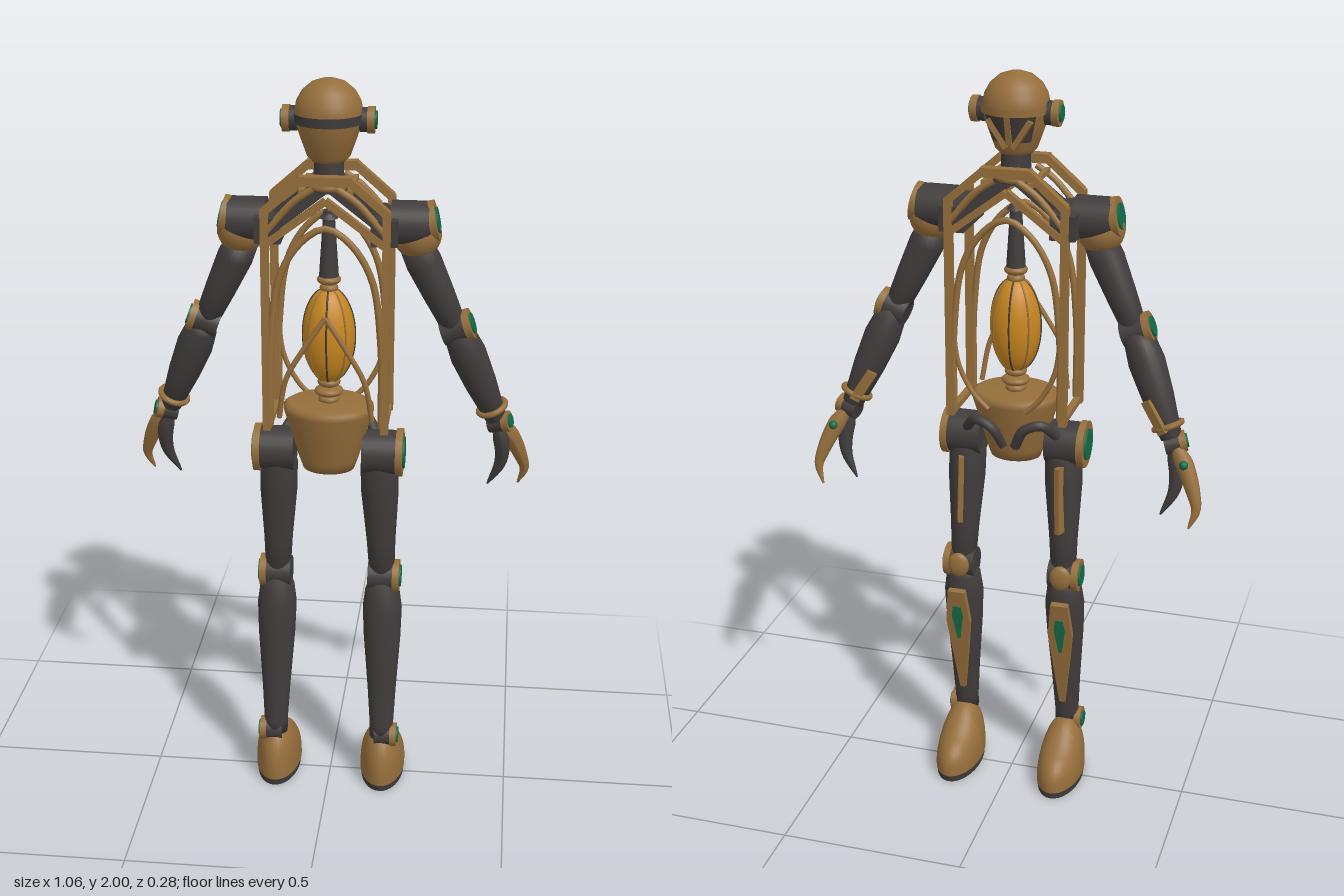
import * as THREE from 'three';

const mat = (name, color) => Object.assign(new THREE.MeshStandardMaterial({ color }), { name });
const bronze = mat('bronze', 0x956e3b);
const dark = mat('dark graphite', 0x403c3b);
const amber = mat('amber', 0xc8861f);
const teal = mat('teal', 0x146b4a);
const V = (x, y, z) => new THREE.Vector3(x, y, z);
const UP = V(0, 1, 0);

export function createModel() {
  const model = new THREE.Group();
  model.name = 'humanoid robot';

  const add = (name, geo, material, x = 0, y = 0, z = 0) => {
    const m = new THREE.Mesh(geo, material);
    m.name = name;
    m.position.set(x, y, z);
    model.add(m);
    return m;
  };
  // smooth rod through points
  const tube = (name, pts, r, material, segs = 24) =>
    add(name, new THREE.TubeGeometry(new THREE.CatmullRomCurve3(pts.map(p => V(...p))), segs, r, 8), material);
  // square bar between two points
  const bar = (name, a, b, w, d, material) => {
    const p = V(...a), q = V(...b);
    const m = add(name, new THREE.BoxGeometry(w, p.distanceTo(q), d), material);
    m.position.copy(p).add(q).multiplyScalar(0.5);
    m.quaternion.setFromUnitVectors(UP, q.sub(p).normalize());
    return m;
  };
  // revolved limb from a to b, profile = [t, radius]
  const limb = (name, a, b, profile, material) => {
    const p = V(...a), q = V(...b), len = p.distanceTo(q);
    const pts = profile.map(([t, r]) => new THREE.Vector2(r, t * len));
    const geo = new THREE.LatheGeometry([new THREE.Vector2(0, 0), ...pts, new THREE.Vector2(0, len)], 24);
    const m = add(name, geo, material);
    m.material.side = THREE.DoubleSide;
    m.position.copy(p);
    m.quaternion.setFromUnitVectors(UP, q.sub(p).normalize());
    return m;
  };
  // dark hub with bronze rim and teal cap, pointing along axis
  const joint = (name, pos, axis, r, len) => {
    const dir = V(...axis).normalize();
    const part = (label, radius, h, offset, material) => {
      const m = add(name + label, new THREE.CylinderGeometry(radius, radius, h, 24), material);
      m.position.set(...pos).addScaledVector(dir, offset);
      m.quaternion.setFromUnitVectors(UP, dir);
    };
    part('Hub', r * 0.92, len, 0, dark);
    part('Rim', r, 0.018, len / 2 - 0.002, bronze);
    part('Cap', r * 0.66, 0.008, len / 2 + 0.008, teal);
  };

  // Head
  const skull = [[0, 1.795], [0.042, 1.797], [0.054, 1.81], [0.072, 1.86], [0.083, 1.9], [0.085, 1.92],
    [0.08, 1.945], [0.066, 1.97], [0.042, 1.99], [0.018, 1.998], [0, 2]];
  add('head', new THREE.LatheGeometry(skull.map(p => new THREE.Vector2(...p)), 32), bronze, 0, 0, 0.04);
  add('headBand', new THREE.CylinderGeometry(0.088, 0.086, 0.024, 32, 1, true, -Math.PI / 2, Math.PI), dark, 0, 1.905, 0.04);
  add('faceRecess', new THREE.CylinderGeometry(0.0865, 0.064, 0.07, 24, 1, true, Math.PI * 0.72, Math.PI * 0.56), dark, 0, 1.868, 0.04);
  add('visor', new THREE.CylinderGeometry(0.089, 0.088, 0.018, 32, 1, true, Math.PI * 0.6, Math.PI * 0.8), bronze, 0, 1.91, 0.04);
  bar('noseRidge', [0, 1.905, -0.044], [0, 1.83, -0.024], 0.014, 0.014, bronze);
  for (const s of [-1, 1]) {
    bar('cheekStrip', [s * 0.055, 1.89, -0.026], [s * 0.01, 1.82, -0.022], 0.014, 0.014, bronze);
    joint('ear', [s * 0.092, 1.9, 0.04], [s, 0, 0], 0.033, 0.03);
  }
  add('neck', new THREE.CylinderGeometry(0.036, 0.04, 0.1, 24), dark, 0, 1.77, 0.037);
  add('neckCollar', new THREE.TorusGeometry(0.046, 0.009, 8, 24).rotateX(Math.PI / 2), bronze, 0, 1.735, 0.037);

  // Rib cage faces, fore and aft
  for (const z of [0.122, -0.052]) {
    const out = z > 0 ? 1 : -1;
    bar('collarTop', [-0.065, 1.765, z], [0.065, 1.765, z], 0.024, 0.028, bronze);
    tube('cageArch', [[-0.143, 1.12, z], [-0.14, 1.35, z], [-0.115, 1.52, z], [-0.06, 1.61, z], [0, 1.645, z],
      [0.06, 1.61, z], [0.115, 1.52, z], [0.14, 1.35, z], [0.143, 1.12, z]], 0.009, bronze, 48);
    for (const s of [-1, 1]) {
      bar('cageUpright', [s * 0.152, 1.105, z], [s * 0.152, 1.69, z], 0.02, 0.022, bronze);
      bar('collarSlope', [s * 0.153, 1.685, z], [s * 0.058, 1.768, z], 0.02, 0.026, bronze);
      bar('chevron', [s * 0.153, 1.6, z], [0, 1.715, z], 0.018, 0.02, bronze);
      tube('chestBrace', [[s * 0.03, 1.745, z], [s * 0.08, 1.71, z], [s * 0.15, 1.63, z]], 0.009, bronze);
      if (z > 0) tube('bellyBrace', [[0, 1.415, z + 0.006], [s * 0.05, 1.34, z + out * 0.014],
        [s * 0.1, 1.25, z + out * 0.014], [s * 0.12, 1.14, z]], 0.007, bronze);
      else tube('bellyBrace', [[s * 0.146, 1.38, z], [s * 0.13, 1.25, z], [s * 0.09, 1.17, z], [s * 0.05, 1.13, z]], 0.007, bronze);
    }
  }
  for (const s of [-1, 1]) {
    bar('cageFootRail', [s * 0.15, 1.115, -0.05], [s * 0.15, 1.115, 0.122], 0.018, 0.016, bronze);
    bar('collarRail', [s * 0.06, 1.735, -0.05], [s * 0.06, 1.735, 0.122], 0.014, 0.012, bronze);
    bar('shoulderYoke', [s * 0.145, 1.635, -0.055], [s * 0.145, 1.635, 0.125], 0.066, 0.065, dark);
    bar('collarStrut', [s * 0.015, 1.735, 0.037], [s * 0.13, 1.645, 0.037], 0.042, 0.055, dark);
  }

  // Glowing core, spindle and mounts
  add('core', new THREE.SphereGeometry(1, 28, 20).scale(0.068, 0.13, 0.068), amber, 0, 1.34, 0.037);
  for (let i = 0; i < 8; i++) {
    const a = i * Math.PI / 4, pts = [];
    for (let k = 0; k <= 8; k++) {
      const t = -1.35 + k * 0.3375, r = 0.068 * Math.cos(t);
      pts.push([Math.sin(a) * r, 1.34 + 0.13 * Math.sin(t), 0.037 + Math.cos(a) * r]);
    }
    tube('coreRib', pts, 0.0025, i % 2 ? bronze : dark);
  }
  for (const [y, r] of [[1.49, 0.031], [1.468, 0.024], [1.212, 0.03], [1.187, 0.038], [1.165, 0.028]])
    add('coreMount', new THREE.SphereGeometry(1, 20, 10).scale(r, 0.015, r), bronze, 0, y, 0.037);
  add('coreSpindle', new THREE.CylinderGeometry(0.014, 0.026, 0.18, 16), dark, 0, 1.58, 0.037);
  add('spindleTop', new THREE.ConeGeometry(0.024, 0.03, 16), dark, 0, 1.665, 0.037);

  // Pelvis
  const bowl = [[0, 0.972], [0.068, 0.972], [0.078, 1.0], [0.098, 1.07], [0.118, 1.135], [0.118, 1.15], [0.105, 1.158], [0, 1.16]];
  add('pelvis', new THREE.LatheGeometry(bowl.map(p => new THREE.Vector2(...p)), 32).scale(1, 1, 0.84), bronze, 0, 0, 0.04);
  for (const s of [-1, 1])
    tube('pelvisHose', [[s * 0.125, 1.05, 0.0], [s * 0.09, 1.09, -0.035], [s * 0.045, 1.075, -0.042],
      [s * 0.015, 1.02, -0.026]], 0.014, dark);

  for (const s of [-1, 1]) {
    // Leg
    joint('hip', [s * 0.14, 1.02, 0.04], [s, 0, 0], 0.064, 0.1);
    limb('thigh', [s * 0.133, 1.01, 0.038], [s * 0.143, 0.64, 0.012],
      [[0, 0.04], [0.08, 0.05], [0.3, 0.05], [0.7, 0.039], [1, 0.034]], dark);
    bar('thighPlate', [s * 0.138, 0.97, -0.016], [s * 0.142, 0.78, -0.022], 0.036, 0.014, bronze);
    joint('knee', [s * 0.145, 0.64, 0.012], [s, 0, 0], 0.045, 0.078);
    add('kneeCap', new THREE.SphereGeometry(0.03, 20, 12).scale(1, 1.2, 0.5), bronze, s * 0.145, 0.645, -0.03);
    limb('shin', [s * 0.145, 0.63, 0.015], [s * 0.15, 0.15, 0.052],
      [[0, 0.036], [0.06, 0.047], [0.17, 0.054], [0.35, 0.051], [0.7, 0.039], [0.92, 0.033], [1, 0.033]], dark);
    // tapered shin guard with a teal inlay
    const guard = (w, top, bottom, depth) => {
      const sh = new THREE.Shape();
      sh.moveTo(-w * 0.7, top);
      sh.lineTo(w * 0.7, top);
      sh.lineTo(w, top - (top - bottom) * 0.3);
      sh.lineTo(w * 0.25, bottom);
      sh.lineTo(-w * 0.25, bottom);
      sh.lineTo(-w, top - (top - bottom) * 0.3);
      return new THREE.ExtrudeGeometry(sh, { depth, bevelEnabled: false });
    };
    const tilt = -0.165;
    const shell = add('shinGuard', guard(0.034, 0, -0.34, 0.018), bronze, s * 0.147, 0.57, -0.053);
    const inlay = add('shinInlay', guard(0.016, -0.05, -0.16, 0.006), teal, s * 0.147, 0.57, -0.056);
    shell.rotation.x = inlay.rotation.x = tilt;
    joint('ankle', [s * 0.158, 0.157, 0.055], [s, 0, 0], 0.033, 0.055);

    // Foot: half dome, taller toward the heel
    const foot = new THREE.SphereGeometry(1, 32, 14, 0, Math.PI * 2, 0, Math.PI / 2);
    const p = foot.attributes.position;
    for (let i = 0; i < p.count; i++) {
      const z = p.getZ(i), y = Math.max(0, p.getY(i));
      const h = 0.1 + 0.066 * THREE.MathUtils.smoothstep(z, -0.55, 0.5);
      p.setXYZ(i, p.getX(i) * 0.063, 0.02 + Math.pow(y, 0.75) * h, z * 0.127 - 0.013);
    }
    foot.computeVertexNormals();
    add('foot', foot, bronze, s * 0.15);
    add('sole', new THREE.CylinderGeometry(1, 0.97, 0.022, 32).scale(0.062, 1, 0.126), dark, s * 0.15, 0.011, -0.013);

    // Shoulder
    const hub = add('shoulderHub', new THREE.CylinderGeometry(0.057, 0.057, 0.095, 28), dark, s * 0.205, 1.642, 0.037);
    hub.rotation.z = Math.PI / 2;
    const cup = add('shoulderCup', new THREE.SphereGeometry(0.062, 24, 12, 0, Math.PI * 2, Math.PI / 2, Math.PI / 2), bronze, s * 0.222, 1.615, 0.037);
    cup.rotation.z = s * 0.35;
    joint('shoulderDisc', [s * 0.24, 1.645, 0.037], [s, 0.2, 0], 0.052, 0.05);

    // Arm
    const out = [s * 0.94, 0.34, 0.05];
    limb('upperArm', [s * 0.22, 1.585, 0.038], [s * 0.322, 1.365, 0.016],
      [[0, 0.042], [0.2, 0.046], [0.6, 0.04], [1, 0.032]], dark);
    joint('elbow', [s * 0.325, 1.363, 0.015], out, 0.041, 0.072);
    limb('forearm', [s * 0.328, 1.36, 0.012], [s * 0.436, 1.1, -0.035],
      [[0, 0.034], [0.1, 0.042], [0.28, 0.048], [0.6, 0.042], [1, 0.028]], dark);
    bar('forearmPlate', [s * 0.37, 1.2, -0.055], [s * 0.42, 1.12, -0.066], 0.026, 0.012, bronze);
    const cuff = add('wristCuff', new THREE.TorusGeometry(0.037, 0.008, 8, 24), bronze, s * 0.425, 1.13, -0.03);
    cuff.quaternion.setFromUnitVectors(V(0, 0, 1), V(s * 0.38, -0.91, -0.17).normalize());
    joint('wrist', [s * 0.443, 1.086, -0.036], [s * 0.93, 0.25, 0.25], 0.028, 0.05);

    // Hand: curved outer claw and darker inner claw, tapering to tips
    const claw = (name, pts, w, d, material) => {
      const curve = new THREE.CatmullRomCurve3(pts.map(q => V(s * q[0], q[1], q[2])));
      const n = 16, geo = new THREE.TubeGeometry(curve, n, 1, 10), a = geo.attributes.position;
      for (let i = 0; i < a.count; i++) {
        const t = Math.floor(i / 11) / n, c = curve.getPointAt(t);
        const k = Math.min(1, 0.55 + t * 2.2) * (1 - 0.9 * Math.pow(t, 2.2));
        a.setXYZ(i, c.x + (a.getX(i) - c.x) * w * k, c.y + (a.getY(i) - c.y) * w * k, c.z + (a.getZ(i) - c.z) * d * k);
      }
      geo.computeVertexNormals();
      add(name, geo, material);
    };
    claw('outerClaw', [[0.448, 1.085, -0.045], [0.48, 1.035, -0.062], [0.508, 0.97, -0.083], [0.518, 0.93, -0.095], [0.502, 0.882, -0.108]], 0.025, 0.018, bronze);
    claw('innerClaw', [[0.44, 1.075, -0.036], [0.455, 1.02, -0.044], [0.452, 0.96, -0.055], [0.42, 0.893, -0.066]], 0.023, 0.017, dark);
    add('palmCap', new THREE.SphereGeometry(0.012, 14, 10), teal, s * 0.478, 1.045, -0.079);
  }
  return model;
}
